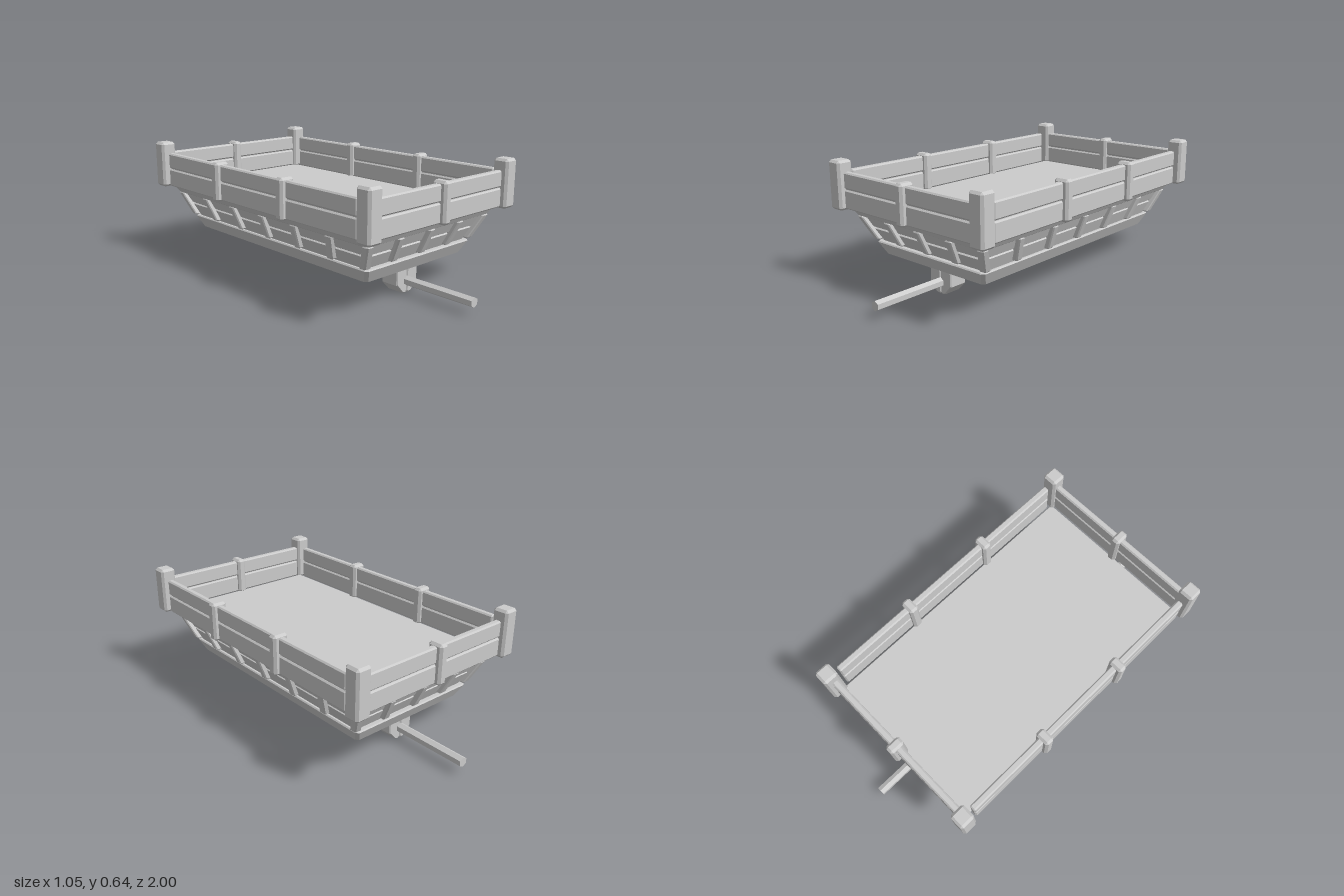
import * as THREE from 'three';
import { ConvexGeometry } from 'three/addons/geometries/ConvexGeometry.js';

const material = new THREE.MeshStandardMaterial({ color: 0xcccccc, flatShading: true });

// Box with every edge cut by c
function chamferBox(w, h, d, c) {
  const pts = [];
  for (const sx of [-1, 1]) for (const sy of [-1, 1]) for (const sz of [-1, 1]) {
    const x = w / 2, y = h / 2, z = d / 2;
    pts.push(new THREE.Vector3(sx * x, sy * (y - c), sz * (z - c)));
    pts.push(new THREE.Vector3(sx * (x - c), sy * y, sz * (z - c)));
    pts.push(new THREE.Vector3(sx * (x - c), sy * (y - c), sz * z));
  }
  return new ConvexGeometry(pts);
}

// Solid through stacked rectangles [halfX, y, halfZ] with clipped corners
function hullBand(levels, c = 0.015) {
  const pts = [];
  for (const [x, y, z] of levels)
    for (const sx of [-1, 1]) for (const sz of [-1, 1]) {
      pts.push(new THREE.Vector3(sx * x, y, sz * (z - c)));
      pts.push(new THREE.Vector3(sx * (x - c), y, sz * z));
    }
  return new ConvexGeometry(pts);
}

export function createModel() {
  const model = new THREE.Group();
  model.name = 'wagonBed';
  const add = (name, geometry, x = 0, y = 0, z = 0) => {
    const mesh = new THREE.Mesh(geometry, material);
    mesh.name = name;
    mesh.position.set(x, y, z);
    model.add(mesh);
    return mesh;
  };

  // Flared hull: bottom band, two recessed planks, top band with the floor
  add('lowerBand', hullBand([[0.33, 0.148, 0.645], [0.343, 0.152, 0.656], [0.375, 0.216, 0.69], [0.37, 0.222, 0.685]]));
  add('lowerPlank', hullBand([[0.357, 0.215, 0.66], [0.386, 0.286, 0.697], [0.38, 0.291, 0.691]]));
  add('plankGap', hullBand([[0.375, 0.28, 0.685], [0.38, 0.3, 0.69]]));
  add('upperPlank', hullBand([[0.383, 0.294, 0.694], [0.39, 0.298, 0.702], [0.418, 0.36, 0.733]]));
  add('upperBand', hullBand([[0.43, 0.353, 0.742], [0.438, 0.358, 0.752], [0.462, 0.396, 0.775], [0.457, 0.402, 0.77]]));

  // Slanted ribs, each a chamfered bar sheared from its foot to its head
  const rib = (xTop, zTop, xBot, zBot) => {
    const h = 0.128;
    const geometry = chamferBox(0.04, h, 0.04, 0.006);
    const p = geometry.attributes.position;
    for (let i = 0; i < p.count; i++) {
      const t = p.getY(i) / h + 0.5;
      p.setX(i, p.getX(i) + THREE.MathUtils.lerp(xBot, xTop, t));
      p.setZ(i, p.getZ(i) + THREE.MathUtils.lerp(zBot, zTop, t));
    }
    geometry.computeVertexNormals();
    add('rib', geometry, 0, 0.292, 0);
  };
  for (const s of [-1, 1]) {
    for (const k of [-1, 0, 1]) rib(k * 0.215, s * 0.735, k * 0.195, s * 0.672);
    for (const k of [-2, -1, 0, 1, 2]) rib(s * 0.418, k * 0.248, s * 0.37, k * 0.232);
    for (const k of [-1, 1]) rib(s * 0.418, k * 0.735, s * 0.37, k * 0.672);
  }

  // Board walls, two boards high
  for (const s of [-1, 1]) {
    for (const [y, h] of [[0.447, 0.098], [0.542, 0.084]]) {
      add('sideBoard', chamferBox(0.035, h, 1.49, 0.007), s * 0.482, y, 0.002);
      add('endBoard', chamferBox(0.92, h, 0.035, 0.007), 0, y, s * 0.796);
    }
    // Closes the narrow seam between boards
    add('sideSeam', new THREE.BoxGeometry(0.018, 0.03, 1.47), s * 0.482, 0.498, 0.002);
    add('endSeam', new THREE.BoxGeometry(0.9, 0.03, 0.018), 0, 0.498, s * 0.796);

    // Corner posts and the smaller posts between them
    for (const t of [-1, 1]) {
      add('cornerPost', chamferBox(0.084, 0.25, 0.084, 0.012), s * 0.483, 0.517, t * 0.802);
      add('sidePost', chamferBox(0.082, 0.205, 0.052, 0.012), s * 0.484, 0.495, t * 0.26);
    }
    add('endPost', chamferBox(0.05, 0.205, 0.082, 0.012), -0.007, 0.495, s * 0.799);
  }

  // Keel blocks, made of two mirrored halves
  const keelHalf = (s, length) => {
    const outline = [[0.001, 0.155], [0.073, 0.155], [0.073, 0.054], [0.027, 0.007], [0.007, 0.004], [0.001, 0.011]];
    const c = 0.006, pts = [];
    for (const [x, y] of outline) for (const e of [-1, 1]) {
      pts.push(new THREE.Vector3(s * x, y, e * (length / 2 - c)));
      pts.push(new THREE.Vector3(s * (0.037 + (x - 0.037) * 0.85), 0.08 + (y - 0.08) * 0.92, e * length / 2));
    }
    return new ConvexGeometry(pts);
  };
  for (const [z, length] of [[0.002, 0.387], [0.553, 0.102], [-0.55, 0.102]])
    for (const s of [-1, 1]) add('keelBlock', keelHalf(s, length), 0, 0, z);

  // Hexagonal drawbar through the keel blocks
  add('drawbar', new THREE.CylinderGeometry(0.025, 0.025, 2, 6), 0, 0.066, 0).rotation.x = Math.PI / 2;

  return model;
}
